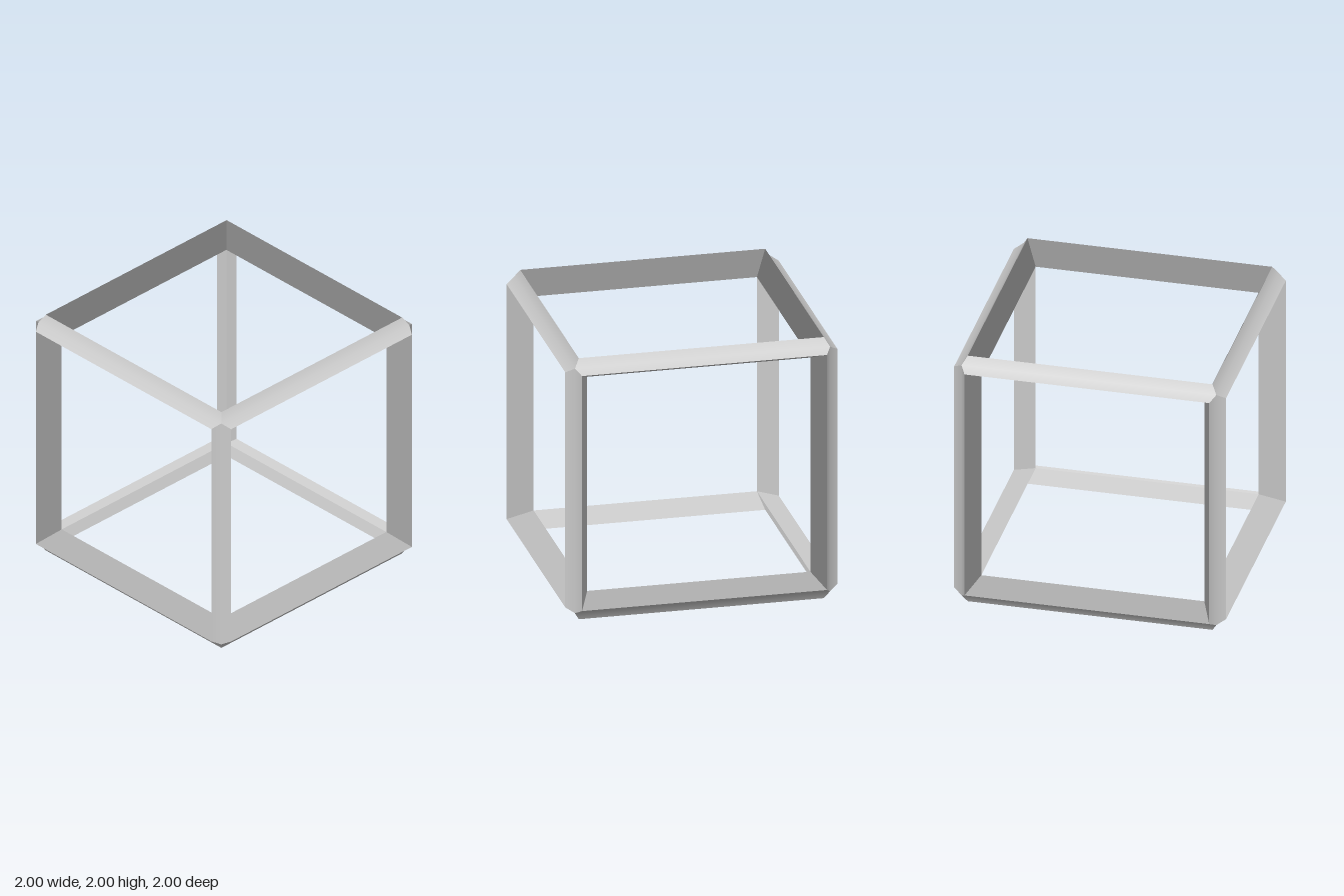
import * as THREE from 'three';
import { mergeGeometries } from 'three/addons/utils/BufferGeometryUtils.js';

const EDGE = 0.9, GROOVE = 0.937, INNER = 0.82;

// One face strip of a bar along y; each section point is [x, z, normalX, normalZ].
// The ends are mitred at 45 degrees, so height follows the smaller coordinate.
function strip(points) {
  const positions = [], normals = [], index = [];
  for (const [x, z, nx, nz] of points) {
    const h = Math.min(x, z);
    positions.push(x, -h, z, x, h, z);
    normals.push(nx, 0, nz, nx, 0, nz);
  }
  for (let i = 0; i < points.length - 1; i++) {
    const a = i * 2;
    index.push(a, a + 2, a + 3, a, a + 3, a + 1);
  }
  const g = new THREE.BufferGeometry();
  g.setAttribute('position', new THREE.Float32BufferAttribute(positions, 3));
  g.setAttribute('normal', new THREE.Float32BufferAttribute(normals, 3));
  g.setIndex(index);
  return g;
}

// Wedge-shaped bar: shallow smooth groove outside, two flat faces meeting inside
function barGeometry() {
  const d = new THREE.Vector2(1 - INNER, INNER - EDGE).normalize();
  return mergeGeometries([
    strip([[EDGE, 1, 0.866, 0.5], [GROOVE, GROOVE, 0.7071, 0.7071], [1, EDGE, 0.5, 0.866]]),
    strip([[1, EDGE, -d.y * -1, -d.x], [INNER, INNER, d.y, -d.x]]),
    strip([[INNER, INNER, -d.x, d.y], [EDGE, 1, -d.x, d.y]]),
  ]);
}

export function createModel() {
  const model = new THREE.Group();
  model.name = 'cubeFrame';
  const geometry = barGeometry();
  const material = new THREE.MeshStandardMaterial({ color: 0xcccccc });

  // Four parallel bars for each axis
  const sets = [
    ['upright', 0, 0],
    ['crossBar', 0, Math.PI / 2],
    ['depthBar', Math.PI / 2, 0],
  ];
  for (const [name, rx, rz] of sets) {
    const set = new THREE.Group();
    set.name = name + 's';
    set.rotation.set(rx, 0, rz);
    for (let i = 0; i < 4; i++) {
      const bar = new THREE.Mesh(geometry, material);
      bar.name = name + (i + 1);
      bar.rotation.y = i * Math.PI / 2;
      set.add(bar);
    }
    set.position.y = 1;
    model.add(set);
  }
  return model;
}
